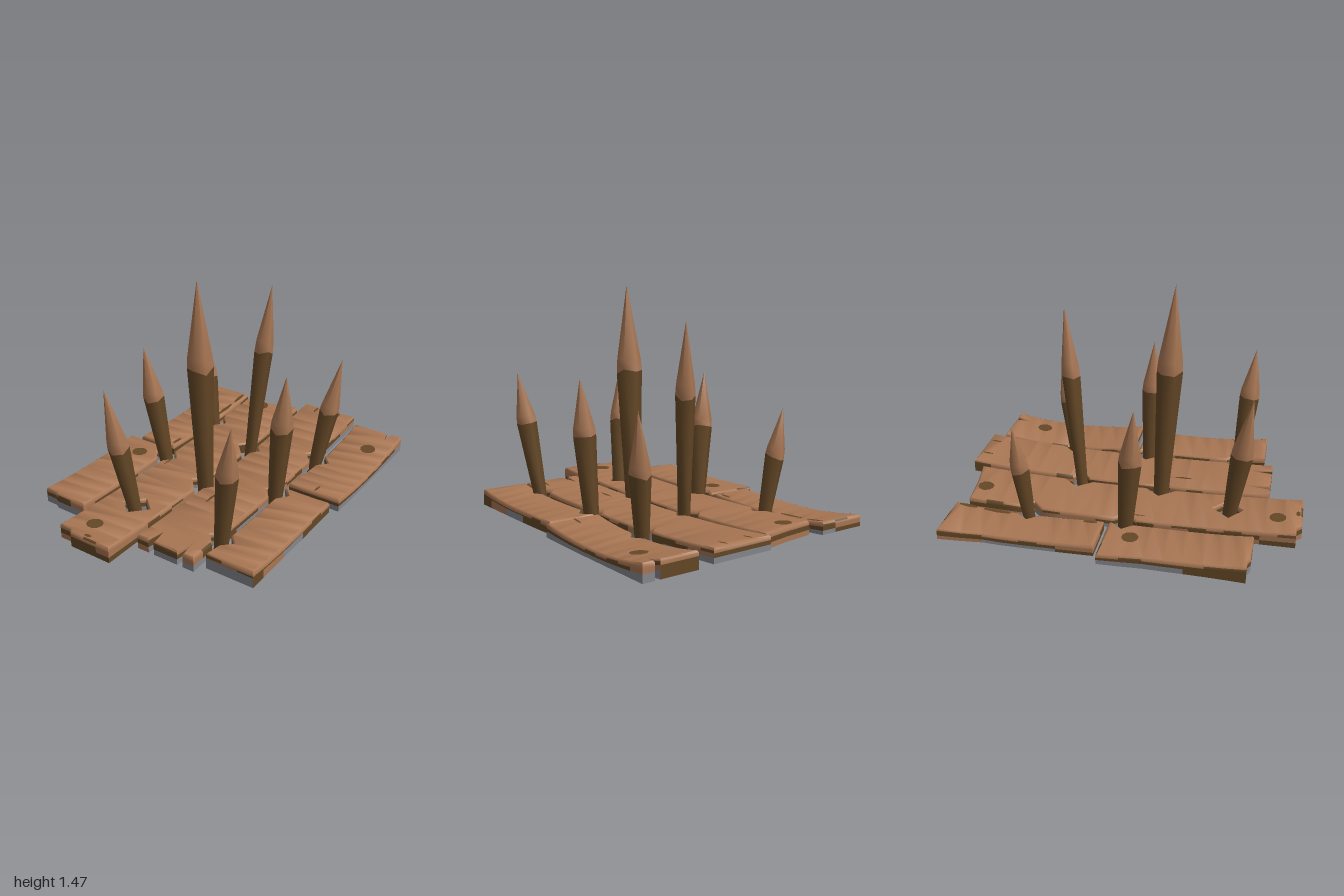
import * as THREE from 'three';
import { toCreasedNormals } from 'three/addons/utils/BufferGeometryUtils.js';

const material = (name, color) => {
  const m = new THREE.MeshStandardMaterial({ color, side: THREE.DoubleSide });
  m.name = name;
  return m;
};
const tan = material('cut wood', 0xa87653);
const dark = material('dark bark', 0x644726);
const grey = material('weathered grey', 0x86878d);
const BAND = 0.1, BEVEL = 0.01;

// Planks: x and z limits, heights at [back, middle, front], damage to the ends,
// and grey on the lower edge as [share of ends, share of sides, height]
const PLANKS = [
  { name: 'backRightPlank', box: [-0.67, -0.42, -0.94, -0.08], top: [0.24, 0.21, 0.22], bottom: [0.175, 0.155, 0.16], grey: [0.5, 0.4, 0.4], flare: 0.04 },
  { name: 'frontRightPlank', box: [-0.715, -0.42, -0.05, 0.745], top: [0.22, 0.22, 0.235], bottom: [0.16, 0.15, 0.14], grey: [1, 0.6, 0.5], flare: 0.02, chip: 0.015 },
  { name: 'innerRightPlank', box: [-0.38, -0.02, -0.935, 0.995], top: [0.25, 0.22, 0.25], bottom: [0.17, 0.155, 0.16], grey: [0.4, 0.4, 0.4], slant: 0.055, chip: 0.03 },
  { name: 'innerLeftPlank', box: [0.01, 0.37, -1, 0.8], top: [0.265, 0.22, 0.235], bottom: [0.19, 0.155, 0.15], grey: [0.55, 0.5, 0.45], frontSplits: [0.285, 0.1] },
  { name: 'backLeftPlank', box: [0.41, 0.73, -0.94, -0.085], top: [0.25, 0.205, 0.235], bottom: [0.155, 0.155, 0.16], grey: [0.6, 1, 0.5], backSplits: [0.645] },
  { name: 'frontLeftPlank', box: [0.41, 0.69, -0.05, 0.745], top: [0.225, 0.22, 0.25], bottom: [0.16, 0.155, 0.155], grey: [1, 0.25, 0.68] },
];

// Centres of the diamond openings the spikes pass through
const OPENINGS = [[-0.395, -0.51], [-0.395, 0.03], [-0.02, -0.325], [-0.02, 0.17], [0.39, -0.46], [0.39, 0.015], [0.39, 0.575], [-0.175, 0.58]];
const REACH = 0.072;

const KNOTS = [[-0.24, -0.83], [-0.23, 0.86], [-0.55, 0.095], [0.6, -0.73]];
// Dark streaks: x, z, half width, half length
const STREAKS = [
  [-0.442, -0.86, 0.014, 0.06], [-0.444, -0.69, 0.014, 0.09], [-0.445, -0.15, 0.012, 0.045], [0.115, -0.95, 0.008, 0.035],
  [0.275, -0.95, 0.008, 0.035], [0.12, 0.28, 0.009, 0.06], [0.57, -0.13, 0.008, 0.04], [-0.33, 0.09, 0.005, 0.05], [-0.18, 0.97, 0.025, 0.012],
];

// Spikes: foot, tip, radius at the shoulder, shoulder position along the length
const SPIKES = [
  [[0, 0.03, 0.16], [0, 1.465, 0.23], 0.07, 0.66], [[-0.01, 0.04, -0.3], [0.07, 1.275, -0.41], 0.052, 0.69],
  [[-0.365, 0.01, 0.02], [-0.48, 0.94, 0.1], 0.06, 0.66], [[-0.385, 0.02, -0.505], [-0.505, 0.79, -0.548], 0.052, 0.67],
  [[-0.165, 0.06, 0.57], [-0.265, 0.955, 0.69], 0.058, 0.62], [[0.37, 0, 0.02], [0.44, 0.965, 0.04], 0.06, 0.68],
  [[0.37, 0.025, 0.57], [0.495, 0.94, 0.65], 0.056, 0.69], [[0.36, 0.01, -0.43], [0.475, 0.86, -0.55], 0.055, 0.62],
];

const noise = n => { const s = Math.sin(n * 12.9898) * 43758.5453; return s - Math.floor(s); };

// Height of the bent plank at z
function bend(values, plank, z) {
  const [, , z0, z1] = plank.box;
  const t = (2 * z - z0 - z1) / (z1 - z0);
  return values[1] + (values[t > 0 ? 2 : 0] - values[1]) * t * t;
}

// Plank outline: splits in the ends, half diamonds cut from the sides
function outline({ box: [x0, x1, z0, z1], flare = 0, slant = 0, chip = 0, frontSplits = [], backSplits = [] }) {
  const notches = (x, inward) => OPENINGS
    .filter(([cx, cz]) => Math.abs(x - cx) < REACH && cz > z0 && cz < z1)
    .sort((a, b) => a[1] - b[1])
    .flatMap(([cx, cz]) => {
      const depth = REACH - Math.abs(x - cx), half = depth * 1.15;
      return [[x, Math.max(cz - half, z0 + 0.01)], [x + inward * depth, cz], [x, cz + half]];
    });
  const split = (x, z, w, depth) => [[x - w, z], [x, z + depth], [x + w, z]];
  return [
    [x0 - flare, z0 + slant], ...(slant ? [[(x0 + x1) / 2, z0 + slant * 0.65]] : []),
    ...backSplits.flatMap(x => split(x, z0, 0.015, 0.065)),
    [x1, z0], ...notches(x1, -1), [x1, z1],
    ...frontSplits.flatMap(x => split(x, z1, -0.017, -0.13)),
    ...(chip ? [[x0 + 0.1, z1], [x0 + 0.07, z1 - chip]] : []),
    [x0, z1 - chip], ...notches(x0, 1).reverse(), ...(flare ? [[x0, z0 + 0.24]] : []),
  ];
}

// A diamond hole where an opening falls inside the plank
function holes({ box: [x0, x1, z0, z1] }) {
  return OPENINGS
    .filter(([x, z]) => x - REACH > x0 && x + REACH < x1 && z > z0 && z < z1)
    .map(([x, z]) => [[x, z - 0.08], [x + 0.08, z - 0.01], [x, z + 0.08], [x - 0.08, z + 0.01]]);
}

// Orient a loop and divide its edges
function prepare(loop, clockwise) {
  const v = loop.map(p => new THREE.Vector2(...p));
  if (THREE.ShapeUtils.isClockWise(v) !== clockwise) v.reverse();
  return v.flatMap((p, i) => {
    const q = v[(i + 1) % v.length], n = Math.max(1, Math.round(p.distanceTo(q) / BAND));
    return Array.from({ length: n }, (_, k) => p.clone().lerp(q, k / n));
  });
}

// Move a loop inwards for the worn edge
function inset(loop) {
  const side = (a, b) => new THREE.Vector2(a.y - b.y, b.x - a.x).normalize();
  return loop.map((p, i) => {
    const a = side(loop[(i + loop.length - 1) % loop.length], p), b = side(p, loop[(i + 1) % loop.length]);
    return p.clone().add(a.add(b).normalize().multiplyScalar(BEVEL));
  });
}

// Cut a polygon at one z line
function clip(poly, z, sign) {
  const out = [];
  poly.forEach((p, i) => {
    const q = poly[(i + 1) % poly.length], a = (p.y - z) * sign, b = (q.y - z) * sign;
    if (a >= 0) out.push(p);
    if ((a > 0 && b < 0) || (a < 0 && b > 0)) out.push(p.clone().lerp(q, a / (a - b)));
  });
  return out;
}

// A plank is a bent board with walls, open underneath
function makePlank(plank, seed) {
  const faces = [[], [], []];
  const [greyEnds, greySides, greyHeight] = plank.grey;
  const top = z => bend(plank.top, plank, z), bottom = z => bend(plank.bottom, plank, z);
  const wall = t => z => bottom(z) + (top(z) - BEVEL - bottom(z)) * t;
  const loops = [prepare(outline(plank), false), ...holes(plank).map(h => prepare(h, true))];
  const inner = loops.map(inset);

  // worn rim, then three rows of wall
  loops.forEach((loop, l) => {
    const rows = [[inner[l], top], [loop, wall(1)], [loop, wall(0.78)], [loop, wall(greyHeight)], [loop, wall(0)]];
    const at = (r, i) => { const p = rows[r][0][i % loop.length]; return [p.x, rows[r][1](p.y), p.y]; };
    loop.forEach((p, i) => {
      const q = loop[(i + 1) % loop.length], dx = Math.abs(p.x - q.x), dz = Math.abs(p.y - q.y);
      const isNotch = Math.min(dx, dz) > 0.5 * Math.max(dx, dz);
      const share = isNotch ? 0.85 : dx > dz ? greyEnds : greySides;
      const patch = Math.floor(i / 2) + seed * 37 + l * 91;
      const low = noise(patch + 0.3) < share ? 2 : noise(patch + 0.6) < 0.5 ? 1 : 0;
      const colours = [noise(i + seed) < 0.12 ? 1 : 0, noise(i + seed * 5) < 0.3 ? 1 : 0, noise(patch) < 0.65 ? 1 : 0, low];
      colours.forEach((c, r) => {
        const u0 = at(r, i), u1 = at(r, i + 1), d0 = at(r + 1, i), d1 = at(r + 1, i + 1);
        faces[c].push(...d0, ...u0, ...u1, ...d0, ...u1, ...d1);
      });
    });
  });

  // upper board, made in bands so it follows the bend
  let poly = inner[0];
  for (const h of inner.slice(1)) {
    let k = 0;
    poly.forEach((p, i) => { if (p.distanceTo(h[0]) < poly[k].distanceTo(h[0])) k = i; });
    poly = [...poly.slice(0, k + 1), ...h, h[0].clone(), poly[k].clone(), ...poly.slice(k + 1)];
  }
  for (let n = -10; n < 10; n++) {
    const band = clip(clip(poly, n * BAND, 1), (n + 1) * BAND, -1);
    if (band.length < 3) continue;
    for (const tri of THREE.ShapeUtils.triangulateShape(band, [])) {
      const [a, b, c] = tri.map(i => band[i]);
      const flip = (b.x - a.x) * (c.y - a.y) - (b.y - a.y) * (c.x - a.x) > 0;
      for (const p of flip ? [a, c, b] : [a, b, c]) faces[0].push(p.x, top(p.y), p.y);
    }
  }

  const geometry = new THREE.BufferGeometry();
  geometry.setAttribute('position', new THREE.Float32BufferAttribute(faces.flat(), 3));
  let start = 0;
  faces.forEach((f, i) => { geometry.addGroup(start, f.length / 3, i); start += f.length / 3; });
  const mesh = new THREE.Mesh(toCreasedNormals(geometry, 0.9), [tan, dark, grey]);
  mesh.name = plank.name;
  return mesh;
}

// Thin painted mark on the upper or lower face of the board it lies on
function makeMark(name, [x, z, w, d], corners, offset) {
  const plank = PLANKS.find(({ box }) => x > box[0] - 0.05 && x < box[1] && z > box[2] && z < box[3]);
  const geometry = new THREE.CircleGeometry(1, corners).rotateX(-Math.PI / 2).scale(w, 1, d).translate(x, 0, z);
  const pos = geometry.attributes.position;
  for (let i = 0; i < pos.count; i++) pos.setY(i, bend(plank.top, plank, pos.getZ(i)) + offset);
  const mesh = new THREE.Mesh(geometry, dark);
  mesh.name = name;
  return mesh;
}

function makeSpike([foot, tip, r, shoulder], seed) {
  const a = new THREE.Vector3(...foot), axis = new THREE.Vector3(...tip).sub(a), len = axis.length();
  const group = new THREE.Group();
  group.name = 'spike';
  const edge = len * shoulder;
  const part = (name, mat, points, row) => {
    const geometry = new THREE.LatheGeometry(points.map(p => new THREE.Vector2(...p)), 6);
    const pos = geometry.attributes.position;
    // ragged line where the bark has been cut away
    for (let i = row; i < pos.count; i += points.length) {
      const k = Math.floor(i / points.length) % 6;
      pos.setY(i, pos.getY(i) - 0.03 * noise(k + seed * 11));
    }
    const mesh = new THREE.Mesh(toCreasedNormals(geometry, 1.1), mat);
    mesh.name = name;
    group.add(mesh);
  };
  const wide = r * 1.05;
  part('shaft', dark, [[0, 0], [wide * 0.56, 0], [wide * 0.66, len * 0.2], [wide, edge]], 3);
  part('sharpenedTip', tan, [[wide, edge], [wide * 0.93, edge + len * 0.04], [0, len]], 0);
  group.position.copy(a);
  group.quaternion.setFromUnitVectors(new THREE.Vector3(0, 1, 0), axis.normalize());
  return group;
}

export function createModel() {
  const model = new THREE.Group();
  model.name = 'spikeTrap';
  PLANKS.forEach((p, i) => model.add(makePlank(p, i + 1)));
  for (const [x, z] of KNOTS) {
    for (const offset of [0.004, -0.004]) model.add(makeMark('knot', [x, z, 0.047, 0.047], 10, offset));
  }
  for (const s of STREAKS) model.add(makeMark('streak', s, 6, 0.004));
  SPIKES.forEach((s, i) => model.add(makeSpike(s, i)));
  return model;
}
